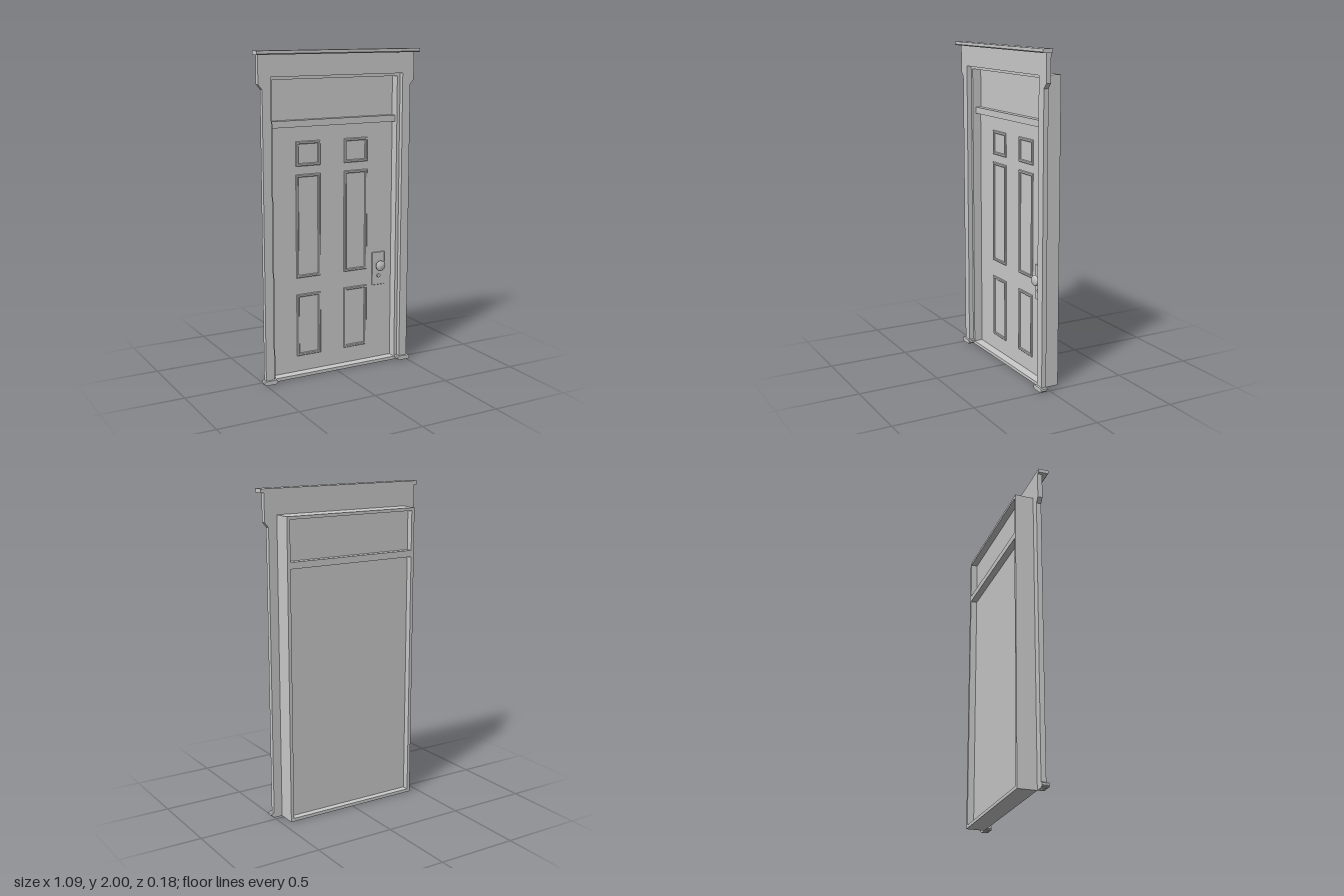
import * as THREE from 'three';

const material = new THREE.MeshStandardMaterial({ color: 0xcccccc });

export function createModel() {
  const model = new THREE.Group();
  model.name = 'door';

  const add = (name, geometry, x = 0, y = 0, z = 0) => {
    const mesh = new THREE.Mesh(geometry, material);
    mesh.name = name;
    mesh.position.set(x, y, z);
    model.add(mesh);
    return mesh;
  };
  // Box given by its limits on each axis
  const box = (name, x0, x1, y0, y1, z0, z1) =>
    add(name, new THREE.BoxGeometry(x1 - x0, y1 - y0, z1 - z0),
      (x0 + x1) / 2, (y0 + y1) / 2, (z0 + z1) / 2);
  const polygon = (points) => new THREE.Shape(points.map(([x, y]) => new THREE.Vector2(x, y)));
  const rect = (w, h) => polygon([[-w / 2, -h / 2], [w / 2, -h / 2], [w / 2, h / 2], [-w / 2, h / 2]]);
  const extrude = (shape, depth, bevel = 0) => new THREE.ExtrudeGeometry(shape, {
    depth, bevelEnabled: bevel > 0, bevelSize: bevel, bevelThickness: bevel,
    bevelOffset: -bevel, bevelSegments: 1,
  });

  // Flat casing around the opening, flaring out to a wide header
  const half = [[0.445, 0], [0.5, 0], [0.5, 1.78], [0.525, 1.81], [0.525, 1.98]];
  const mirrored = half.map(([x, y]) => [-x, y]).reverse();
  const casing = polygon([...half, ...mirrored, [-0.445, 1.85], [0.445, 1.85]]);
  add('casing', extrude(casing, 0.03), 0, 0, 0.025);

  // Cap moulding: cross-section in z and y, run along x
  const cap = polygon([[0.025, 1.977], [0.085, 1.977], [0.09, 1.983], [0.09, 2], [0.025, 2]]);
  const capGeometry = extrude(cap, 1.09);
  capGeometry.rotateY(-Math.PI / 2);
  capGeometry.translate(0.545, 0, 0);
  add('cap', capGeometry);

  // Deep frame behind the casing
  for (const [side, s] of [['left', 1], ['right', -1]]) {
    const [a, b] = [s * 0.425, s * 0.445].sort((p, q) => p - q);
    box(side + 'Jamb', a, b, 0, 1.85, -0.09, 0.025);

    // Chamfered foot under each casing leg
    const foot = polygon([[-0.035, 0.004], [0.035, 0.004], [0.0425, 0.012], [0.0425, 0.024],
      [0.037, 0.03], [-0.037, 0.03], [-0.0425, 0.024], [-0.0425, 0.012]]);
    add(side + 'Foot', extrude(foot, 0.043), s * 0.4725, 0, 0.025);
  }
  box('head', -0.425, 0.425, 1.832, 1.85, -0.09, 0.025);
  box('sill', -0.425, 0.425, 0, 0.02, -0.09, 0.025);
  box('transomBar', -0.425, 0.425, 1.55, 1.59, -0.09, 0.005);

  // Transom panel and door leaf
  box('transomPanel', -0.425, 0.425, 1.59, 1.832, -0.05, -0.032);
  box('doorLeaf', -0.425, 0.425, 0.02, 1.55, -0.05, -0.03);

  // Raised mouldings framing six panels
  for (const x of [-0.1675, 0.1625]) {
    for (const [y0, y1] of [[0.12, 0.515], [0.62, 1.26], [1.31, 1.46]]) {
      const w = 0.165, h = y1 - y0;
      const frame = rect(w, h);
      frame.holes.push(rect(w - 0.034, h - 0.034));
      add('panelMoulding', extrude(frame, 0.004, 0.004), x, (y0 + y1) / 2, -0.03);
    }
  }

  // Lock plate, knob and keyhole ring
  add('lockPlate', extrude(rect(0.092, 0.215), 0.004, 0.002), 0.33, 0.6125, -0.03);
  const knobProfile = [[0, 0], [0.018, 0], [0.014, 0.012], [0.024, 0.017], [0.032, 0.024],
    [0.033, 0.032], [0.027, 0.039], [0, 0.042]].map(([r, y]) => new THREE.Vector2(r, y));
  add('knob', new THREE.LatheGeometry(knobProfile, 20), 0.33, 0.635, -0.024).rotation.x = Math.PI / 2;
  add('keyCylinder', new THREE.CylinderGeometry(0.012, 0.013, 0.008, 16), 0.33, 0.566, -0.019)
    .rotation.x = Math.PI / 2;

  return model;
}
